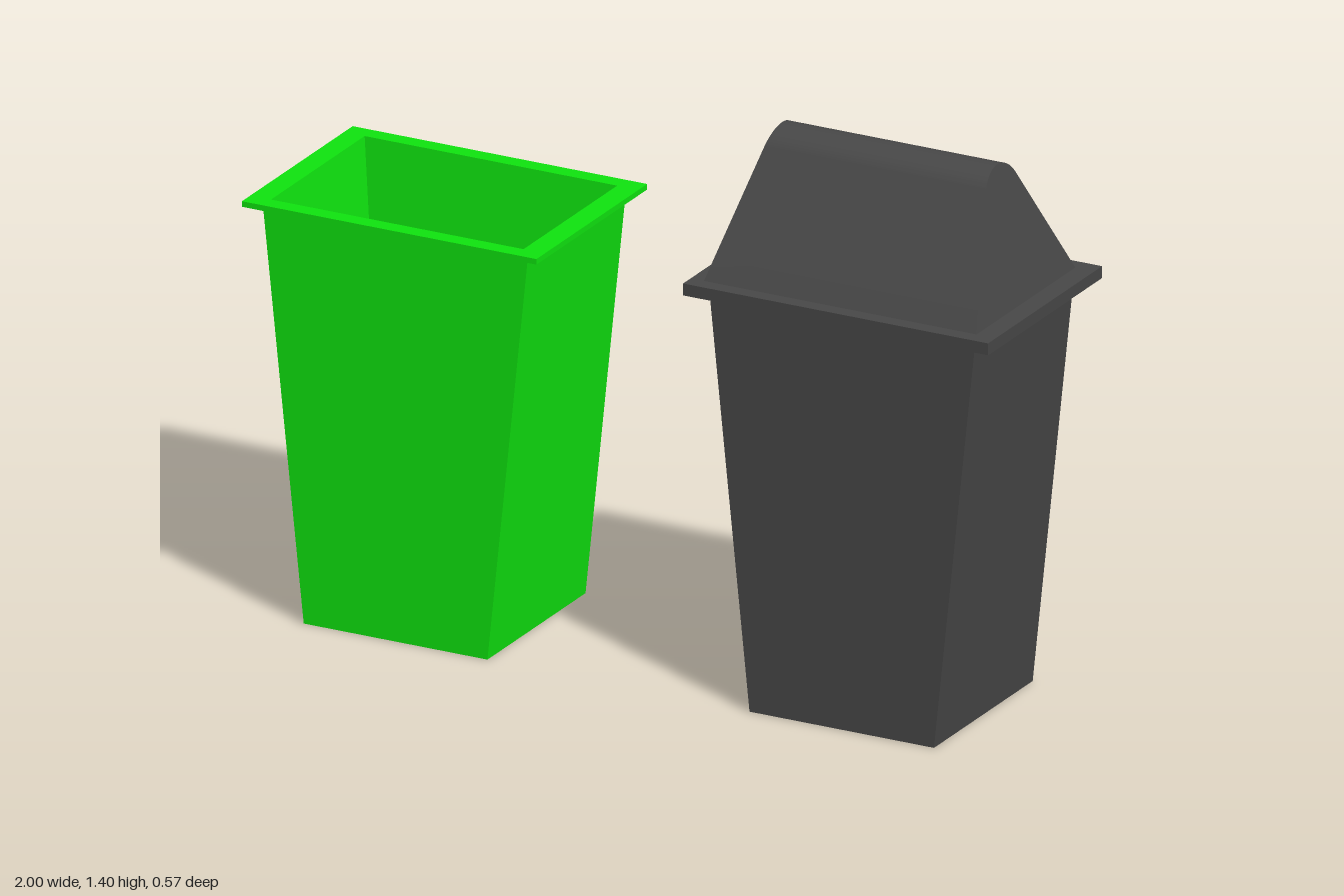
import * as THREE from 'three';
import { toCreasedNormals } from 'three/addons/utils/BufferGeometryUtils.js';

const green = new THREE.MeshStandardMaterial({ color: 0x0fe50f });
const charcoal = new THREE.MeshStandardMaterial({ color: 0x484848 });

// Flat-faced loft through rectangles [x0, x1, z0, z1, y], optionally capped at either end.
function loft(rects, capStart, capEnd) {
  const rings = rects.map(([x0, x1, z0, z1, y]) =>
    [[x0, y, z1], [x1, y, z1], [x1, y, z0], [x0, y, z0]]);
  const pos = [];
  const quad = (a, b, c, d) => pos.push(...a, ...b, ...c, ...a, ...c, ...d);
  for (let r = 0; r < rings.length - 1; r++) {
    const lo = rings[r], hi = rings[r + 1];
    for (let i = 0; i < 4; i++) {
      const j = (i + 1) % 4;
      quad(lo[i], lo[j], hi[j], hi[i]);
    }
  }
  if (capStart) quad(...[...rings[0]].reverse());
  if (capEnd) quad(...rings[rings.length - 1]);
  const geo = new THREE.BufferGeometry();
  geo.setAttribute('position', new THREE.Float32BufferAttribute(pos, 3));
  geo.computeVertexNormals();
  return geo;
}

function addPart(group, name, geometry, material) {
  const mesh = new THREE.Mesh(geometry, material);
  mesh.name = name;
  group.add(mesh);
}

// Open bin: tapered shell, flat rim and a tapered well inside
function createOpenBin() {
  const bin = new THREE.Group();
  bin.name = 'openBin';
  const mouth = [-0.945, -0.27, -0.235, 0.23, 1.05];
  const neck = [-0.96, -0.252, -0.245, 0.242, 1.036];
  addPart(bin, 'binBody', loft([[-0.851, -0.36, -0.245, 0.242, 0], neck], true, false), green);
  addPart(bin, 'binRim', loft([
    neck,
    [-1, -0.213, -0.278, 0.272, 1.036],
    [-1, -0.213, -0.278, 0.272, 1.05],
    mouth,
  ], false, false), green);
  addPart(bin, 'binInterior',
    loft([mouth, [-0.862, -0.353, -0.17, 0.163, 0.22]], false, true), green);
  return bin;
}

// Hood: rounded gable profile run along x, its ends leaning inward with height
function createHood() {
  const baseY = 1.065, topY = 1.397, r = 0.085;
  const lean = THREE.MathUtils.degToRad(60);
  const shape = new THREE.Shape();
  shape.moveTo(-0.246, baseY);
  shape.lineTo(0.246, baseY);
  shape.absarc(0, topY - r, r, Math.PI / 2 - lean, Math.PI / 2 + lean, false);
  shape.closePath();
  const geo = new THREE.ExtrudeGeometry(shape, { depth: 1, bevelEnabled: false, curveSegments: 16 });
  geo.rotateY(Math.PI / 2);
  const p = geo.attributes.position;
  for (let i = 0; i < p.count; i++) {
    const inset = 0.077 * (p.getY(i) - baseY) / (topY - baseY);
    p.setX(i, THREE.MathUtils.lerp(0.22 + inset, 0.949 - inset, p.getX(i)));
  }
  return toCreasedNormals(geo, 0.45);
}

// Covered bin: tapered body, thick collar and hood
function createCoveredBin() {
  const bin = new THREE.Group();
  bin.name = 'coveredBin';
  addPart(bin, 'coveredBinBody', loft([
    [0.342, 0.835, -0.245, 0.245, 0],
    [0.235, 0.945, -0.245, 0.245, 1.04],
  ], true, true), charcoal);
  addPart(bin, 'lidCollar', loft([
    [0.185, 1, -0.283, 0.283, 1.036],
    [0.185, 1, -0.283, 0.283, 1.066],
  ], true, true), charcoal);
  addPart(bin, 'lidHood', createHood(), charcoal);
  return bin;
}

export function createModel() {
  const model = new THREE.Group();
  model.name = 'wasteBins';
  model.add(createOpenBin(), createCoveredBin());
  return model;
}
